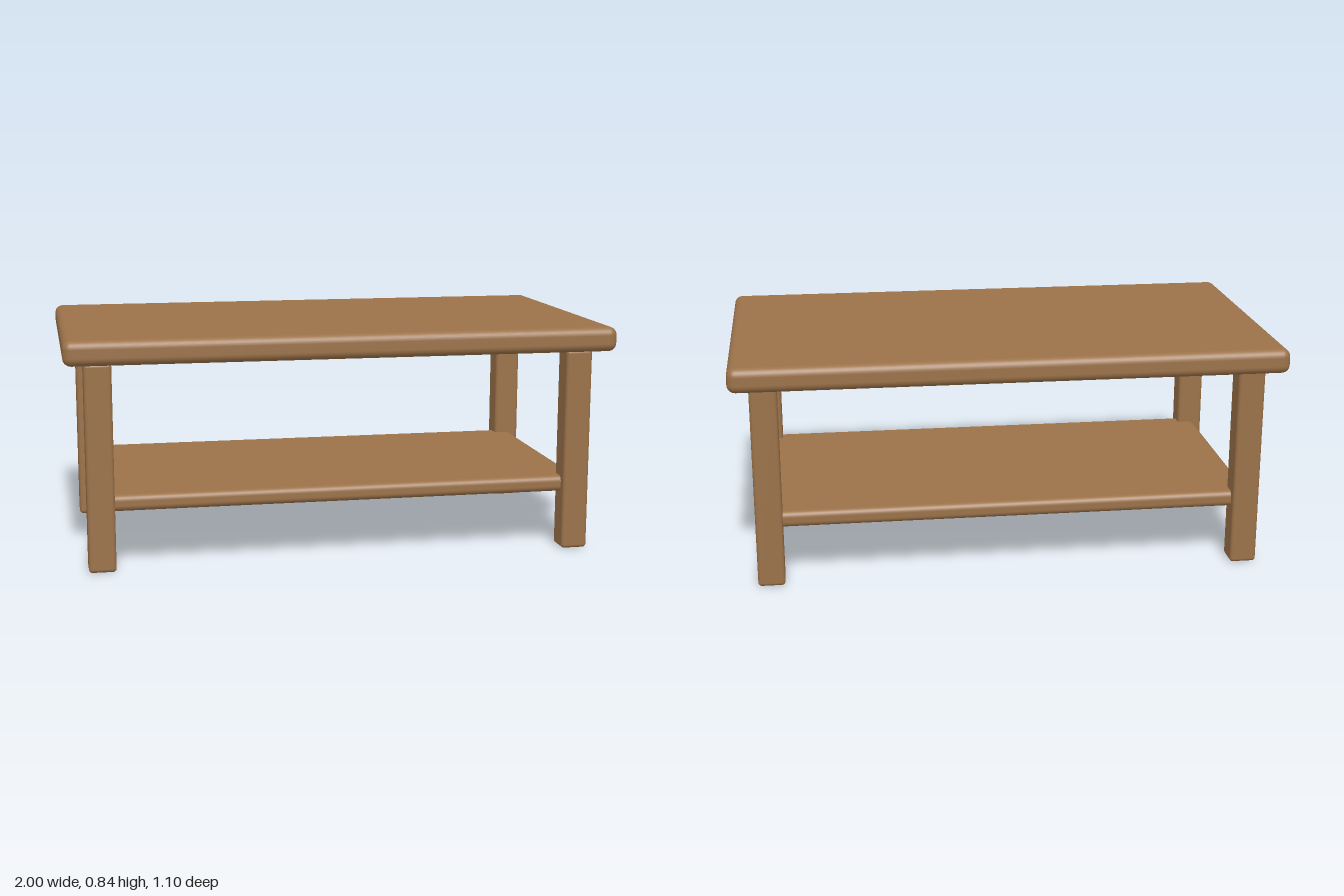
import * as THREE from 'three';
import { RoundedBoxGeometry } from 'three/addons/geometries/RoundedBoxGeometry.js';

const wood = new THREE.MeshStandardMaterial({ color: 0x9b7249 });

// Rounded board or post standing with its underside at the given height
function block(name, [w, h, d], radius, x, bottom, z) {
  const mesh = new THREE.Mesh(new RoundedBoxGeometry(w, h, d, 4, radius), wood);
  mesh.name = name;
  mesh.position.set(x, bottom + h / 2, z);
  return mesh;
}

export function createModel() {
  const table = new THREE.Group();
  table.name = 'coffeeTable';

  // Thick top with softened edges
  table.add(block('tableTop', [2, 0.09, 1.1], 0.03, 0, 0.753, 0));

  // Lower shelf, its corners let into the legs
  table.add(block('lowerShelf', [1.8, 0.06, 0.9], 0.022, 0, 0.213, 0));

  // Four square legs
  for (const [front, z] of [['front', 0.432], ['back', -0.432]]) {
    for (const [side, x] of [['Left', 0.88], ['Right', -0.88]]) {
      table.add(block(`${front}${side}Leg`, [0.098, 0.753, 0.098], 0.013, x, 0, z));
    }
  }
  return table;
}
